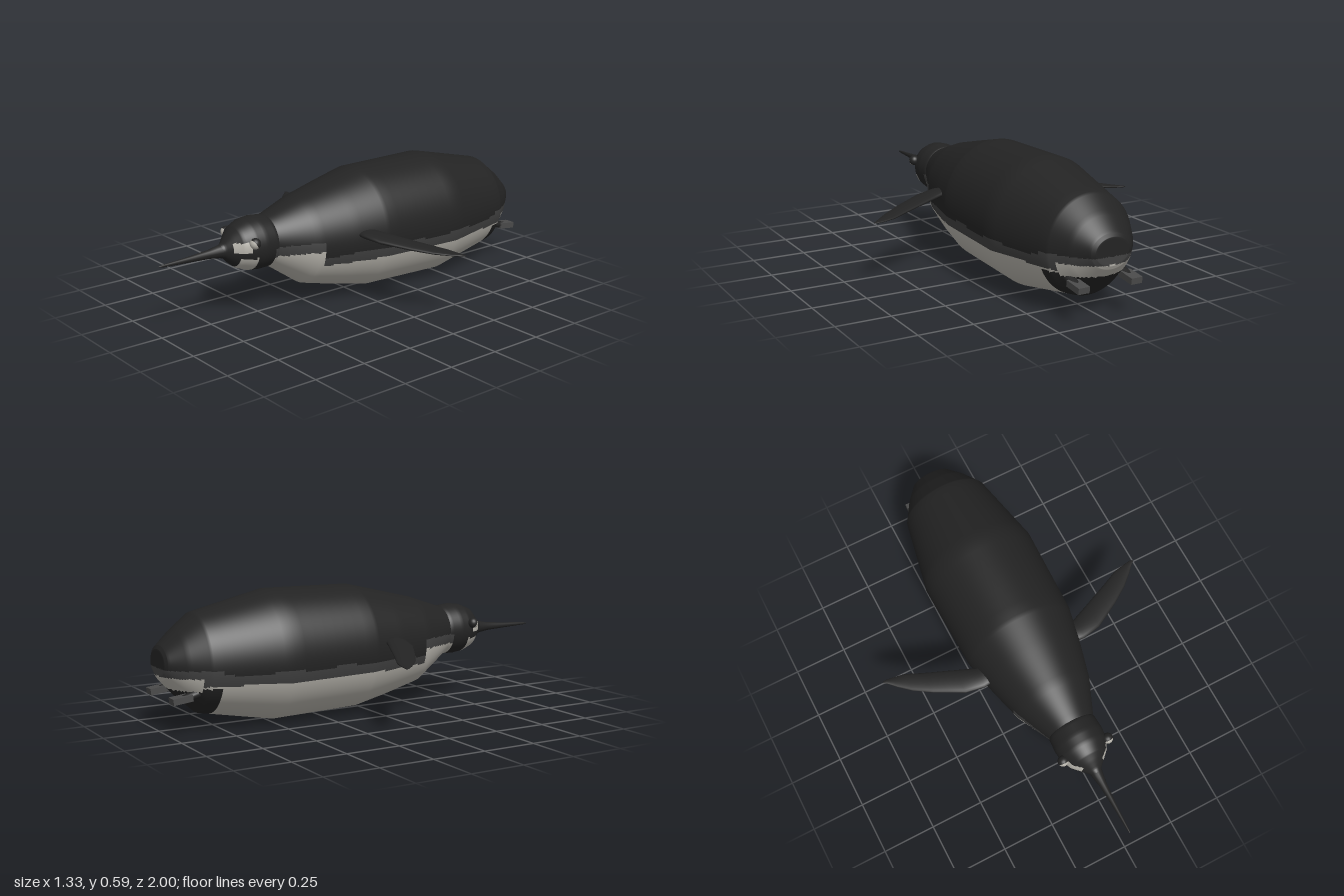
import * as THREE from 'three';

const mat = (name, color) => {
  const m = new THREE.MeshStandardMaterial({ color });
  m.name = name;
  return m;
};

// Loft of ellipses. Keys run from +z to -z: [z, centreY, radiusY, centreX, radiusX].
// pick(x, y, z) gives the material index of each small cell.
function loft(name, keys, steps, sides, mats, pick = () => 0) {
  const rings = [keys[0]];
  for (let k = 1; k < keys.length; k++) {
    for (let s = 1; s <= steps; s++) {
      rings.push(keys[k].map((v, c) => THREE.MathUtils.lerp(keys[k - 1][c], v, s / steps)));
    }
  }
  const point = (r, j) => {
    const a = (j / sides) * Math.PI * 2;
    return [r[3] + r[4] * Math.cos(a), r[1] + r[2] * Math.sin(a), r[0]];
  };
  const position = [];
  for (const r of rings) for (let j = 0; j < sides; j++) position.push(...point(r, j));
  const faces = mats.map(() => []);
  for (let i = 0; i < rings.length - 1; i++) {
    const mid = rings[i].map((v, c) => (v + rings[i + 1][c]) / 2);
    for (let j = 0; j < sides; j++) {
      const a = i * sides + j, b = i * sides + (j + 1) % sides;
      faces[pick(...point(mid, j + 0.5))].push(a, a + sides, b, b, a + sides, b + sides);
    }
  }
  const geo = new THREE.BufferGeometry();
  geo.setAttribute('position', new THREE.Float32BufferAttribute(position, 3));
  geo.setIndex(faces.flat());
  let start = 0;
  faces.forEach((f, m) => {
    geo.addGroup(start, f.length, m);
    start += f.length;
  });
  geo.computeVertexNormals();
  const mesh = new THREE.Mesh(geo, mats);
  mesh.name = name;
  return mesh;
}

export function createModel() {
  const black = mat('black plumage', 0x232323);
  const grey = mat('grey flank', 0x404040);
  const pale = mat('pale belly', 0xb6b3ab);
  const foot = mat('grey feet', 0x4a4a4a);
  const plumage = [black, grey, pale];
  const BLACK = 0, GREY = 1, PALE = 2;
  const model = new THREE.Group();
  model.name = 'swimmingBird';

  // Body: dark back, grey flank line, pale belly, dark vent and pale rump sides
  const body = [
    [0.48, 0.33, 0.1, 0, 0.1],
    [0.45, 0.33, 0.118, 0, 0.115],
    [0.28, 0.3, 0.206, 0, 0.19],
    [0.1, 0.299, 0.25, 0, 0.237],
    [-0.06, 0.3, 0.286, 0, 0.27],
    [-0.48, 0.296, 0.295, 0, 0.282],
    [-0.83, 0.288, 0.222, 0, 0.212],
    [-0.92, 0.294, 0.148, 0, 0.157],
    [-0.99, 0.3, 0.078, 0, 0.1],
    [-1, 0.3, 0.06, 0, 0.08],
    [-1, 0.3, 0, 0, 0],
  ];
  model.add(loft('body', body, 8, 160, plumage, (x, y, z) => {
    if (z < -0.86 && y > 0.185 && y < 0.245) return PALE;
    if (z < -0.79 && y < 0.2) return BLACK;
    const wave = 0.005 * Math.sin(z * 22);
    const paleTop = z > 0.26 ? 0.28 : 0.21;
    const greyTop = z > 0.26 ? 0.325 : z > -0.8 ? 0.255 + wave : 0.28;
    return y < paleTop ? PALE : y < greyTop ? GREY : BLACK;
  }));

  // Head: dark crown and throat band, pale cheeks and chin
  const head = [
    [0.43, 0.33, 0.1, 0, 0.1],
    [0.46, 0.332, 0.118, 0, 0.116],
    [0.52, 0.334, 0.122, 0, 0.12],
    [0.57, 0.334, 0.116, 0, 0.115],
    [0.62, 0.333, 0.096, 0, 0.092],
    [0.65, 0.33, 0.068, 0, 0.062],
    [0.68, 0.327, 0.035, 0, 0.032],
    [0.7, 0.326, 0.028, 0, 0.024],
  ].reverse();
  model.add(loft('head', head, 5, 64, plumage, (x, y, z) => {
    if (z < 0.475) return y < 0.28 ? PALE : y < 0.325 ? GREY : BLACK;
    if (z > 0.59 && z < 0.655 && y > 0.322 && y < 0.368 && Math.abs(x) > 0.03) return PALE;
    if (z > 0.56 && z < 0.63 && y < 0.295) return PALE;
    return BLACK;
  }));

  // Beak: long, slim and pointed
  model.add(loft('beak', [
    [1, 0.322, 0.002, 0, 0.002],
    [0.98, 0.322, 0.006, 0, 0.005],
    [0.85, 0.323, 0.013, 0, 0.011],
    [0.75, 0.325, 0.02, 0, 0.018],
    [0.67, 0.327, 0.034, 0, 0.032],
  ], 2, 16, [black]));

  for (const side of [1, -1]) {
    const half = new THREE.Group();
    half.name = side > 0 ? 'leftSide' : 'rightSide';
    half.scale.x = side;
    model.add(half);

    // Wing: swept-back flipper, lofted tip to root then turned sideways
    const wing = loft('wing', [
      [0.665, 0.299, 0.001, 0.15, 0.004],
      [0.65, 0.299, 0.004, 0.146, 0.011],
      [0.615, 0.3, 0.006, 0.125, 0.027],
      [0.56, 0.304, 0.009, 0.094, 0.046],
      [0.48, 0.313, 0.012, 0.047, 0.054],
      [0.35, 0.328, 0.015, -0.02, 0.062],
      [0.26, 0.338, 0.018, -0.05, 0.052],
      [0.2, 0.34, 0.018, -0.05, 0.045],
    ], 2, 20, [black]);
    wing.rotation.y = Math.PI / 2;
    half.add(wing);

    // Eye: dark bulge with a pale lower front
    const eye = new THREE.Group();
    eye.name = 'eye';
    eye.position.set(0.114, 0.368, 0.583);
    eye.rotation.x = 2.1;
    const split = Math.PI * 0.42;
    const lower = new THREE.Mesh(new THREE.SphereGeometry(0.025, 20, 8, 0, Math.PI * 2, 0, split), pale);
    lower.name = 'eyeLower';
    const upper = new THREE.Mesh(
      new THREE.SphereGeometry(0.025, 20, 10, 0, Math.PI * 2, split, Math.PI - split), black);
    upper.name = 'eyeUpper';
    eye.add(lower, upper);
    half.add(eye);

    // Leg and trailing foot
    half.add(loft('leg', [
      [-0.78, 0.2, 0.02, 0.12, 0.025],
      [-0.84, 0.185, 0.024, 0.125, 0.026],
      [-0.91, 0.166, 0.018, 0.128, 0.022],
      [-0.95, 0.162, 0.01, 0.128, 0.018],
    ], 2, 16, [black]));
    const web = new THREE.Mesh(new THREE.BoxGeometry(0.054, 0.028, 0.09), foot);
    web.name = 'foot';
    web.position.set(0.129, 0.159, -0.948);
    web.rotation.x = -0.12;
    half.add(web);
  }
  return model;
}
